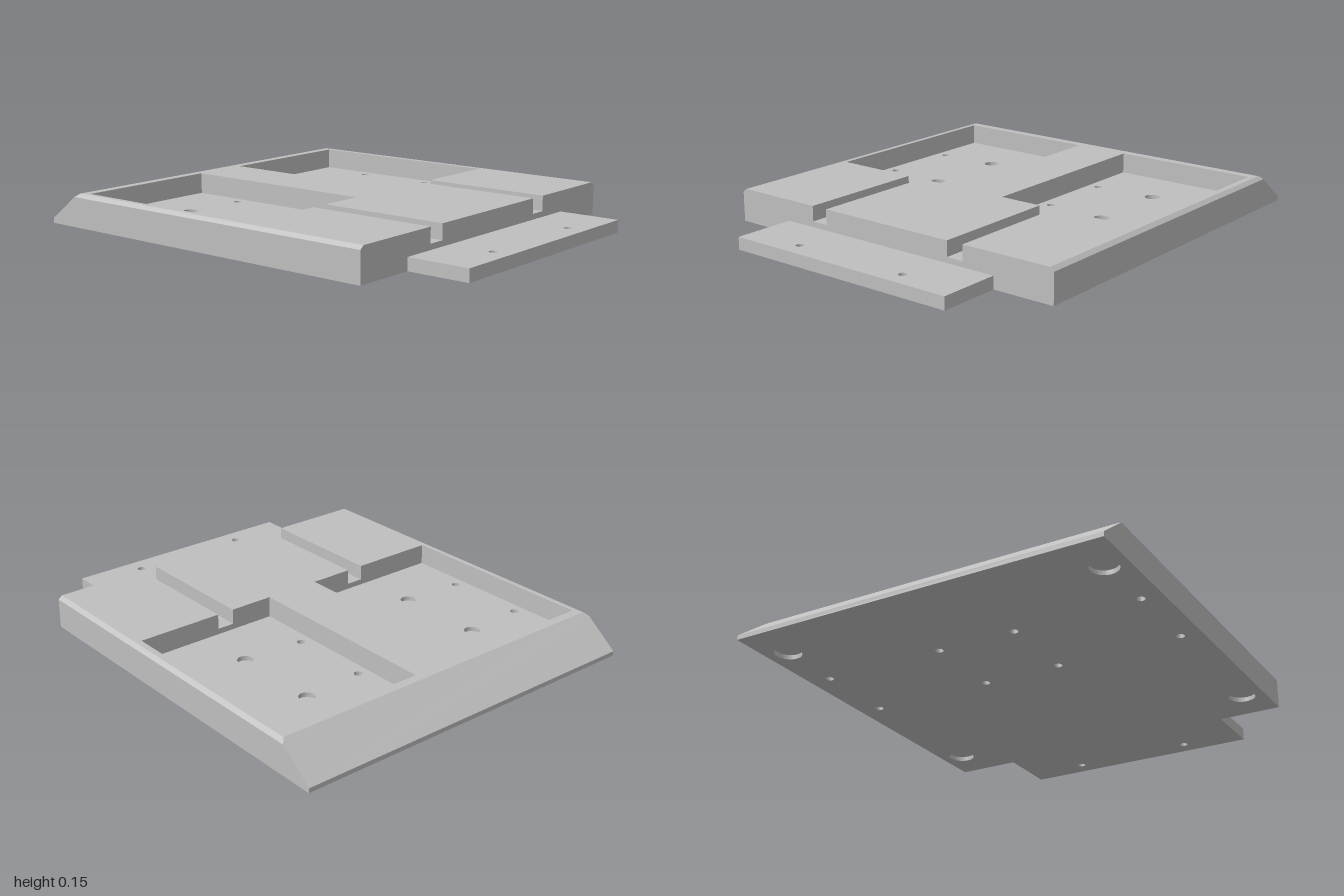
import * as THREE from 'three';
import { mergeGeometries } from 'three/addons/utils/BufferGeometryUtils.js';

const W = 0.83, WT = 0.812;              // half width at the base and at the top
const BACK = -1, RAMP = -0.835, FRONT = 0.72, TIP = 1;
const LIP = 0.02, FLOOR = 0.055, CHANNEL = 0.08, EDGE = 0.132, TOP = 0.147;
const TAB = 0.55, EDGE_Z = -0.855, BLIND = 0.035;

// Convex polygon from 3D corners, counter-clockwise seen from its front
function face(corners) {
  const pos = [];
  for (let i = 1; i < corners.length - 1; i++) pos.push(...corners[0], ...corners[i], ...corners[i + 1]);
  const g = new THREE.BufferGeometry();
  g.setAttribute('position', new THREE.Float32BufferAttribute(pos, 3));
  g.computeVertexNormals();
  return g;
}

// Vertical strip along [x, z] points
function wall(pts, y0, y1) {
  const quads = [];
  for (let i = 0; i < pts.length - 1; i++) {
    const [ax, az] = pts[i], [bx, bz] = pts[i + 1];
    quads.push(face([[ax, y0, az], [bx, y0, bz], [bx, y1, bz], [ax, y1, az]]));
  }
  return mergeGeometries(quads);
}

const toPath = pts => pts.map(p => new THREE.Vector2(...p));

// Flat outline with holes, without uv so it merges with the other faces
function flat(outline, holes = []) {
  const shape = new THREE.Shape(toPath(outline));
  holes.forEach(h => shape.holes.push(new THREE.Path(toPath(h))));
  const g = new THREE.ShapeGeometry(shape).toNonIndexed();
  g.deleteAttribute('uv');
  return g;
}

// Horizontal surface of [x, z] points facing up or down
function cap(outline, y, up, holes) {
  const g = flat(outline, holes).rotateX(Math.PI / 2).translate(0, y, 0);
  if (up) {
    const p = g.attributes.position;
    for (let i = 0; i < p.count; i += 3) {
      const a = [p.getX(i), p.getY(i), p.getZ(i)];
      p.setXYZ(i, p.getX(i + 1), p.getY(i + 1), p.getZ(i + 1));
      p.setXYZ(i + 1, ...a);
    }
    g.computeVertexNormals();
  }
  return g;
}

// Closed ring of points; its wall faces inward
function circle(x, z, r, n = 32) {
  return Array.from({ length: n + 1 }, (_, i) => {
    const a = (i % n) / n * Math.PI * 2;
    return [x + r * Math.cos(a), z + r * Math.sin(a)];
  });
}
const ring = (x, z, r) => circle(x, z, r).slice(0, -1);

const rect = (x0, z0, x1, z1) => [[x0, z0], [x1, z0], [x1, z1], [x0, z1]];

export function createModel() {
  const model = new THREE.Group();
  const grey = new THREE.MeshStandardMaterial({ color: 0xbfbfbf });
  grey.name = 'grey';
  const add = (name, ...geos) => {
    const mesh = new THREE.Mesh(mergeGeometries(geos), grey);
    mesh.name = name;
    model.add(mesh);
  };

  // Two pockets, each with a cable channel opening to the front
  const pockets = [-0.46, 0.455].map(cx => {
    const x0 = cx - 0.33, x1 = cx + 0.33, z0 = -0.795, z1 = 0.13;
    const c0 = cx < 0 ? -0.405 : 0.323, c1 = c0 + 0.077;
    return {
      c0, c1, z1, floor: rect(x0, z0, x1, z1),
      notch: [[c0, FRONT], [c0, z1], [x0, z1], [x0, z0], [x1, z0], [x1, z1], [c1, z1], [c1, FRONT]],
      screws: [-0.28, 0.28].flatMap(dx => [-0.515, -0.15].map(z => [cx + dx, z, 0.018])),
      blinds: [-0.53, -0.13].map(z => [cx, z, 0.034]),
    };
  });
  const tabHoles = [-0.275, 0.275].map(x => [x, 0.92, 0.018]);
  const feet = [-0.73, 0.73].flatMap(x => [-0.8, 0.53].map(z => [x, z, 0.058]));
  const rings = list => list.map(h => ring(...h));

  // Underside
  const screws = pockets.flatMap(p => p.screws);
  add('underside', cap(
    [[-W, BACK], [W, BACK], [W, FRONT], [TAB, FRONT], [TAB, TIP], [-TAB, TIP], [-TAB, FRONT], [-W, FRONT]],
    0, false, rings([...screws, ...tabHoles, ...feet])));
  add('footRecesses', ...feet.flatMap(f => [wall(circle(...f), 0, LIP), cap(ring(...f), LIP, false)]));

  // Top deck around the pockets and channels
  add('topDeck', cap(
    [[-WT, RAMP], [-WT, FRONT], ...pockets.flatMap(p => p.notch), [WT, FRONT], [WT, RAMP]], TOP, true));

  // Front face notched by the channels and the tab
  const notches = pockets.slice().reverse().flatMap(p =>
    [[p.c1, TOP], [p.c1, CHANNEL], [p.c0, CHANNEL], [p.c0, TOP]]);
  add('frontFace', flat([
    [-W, 0], [-TAB, 0], [-TAB, FLOOR], [TAB, FLOOR], [TAB, 0], [W, 0],
    [W, EDGE], [WT, TOP], ...notches, [-WT, TOP], [-W, EDGE]]).translate(0, 0, FRONT));

  // Sides with chamfered top edges
  for (const s of [1, -1]) {
    const side = [[W, 0, FRONT], [W, 0, BACK], [W, LIP, BACK], [W, EDGE, EDGE_Z], [W, EDGE, FRONT]];
    const bevel = [[W, EDGE, FRONT], [W, EDGE, EDGE_Z], [WT, TOP, RAMP], [WT, TOP, FRONT]];
    const place = c => {
      const m = c.map(([x, y, z]) => [s * x, y, z]);
      return face(s > 0 ? m : m.reverse());
    };
    add(s > 0 ? 'leftSide' : 'rightSide', place(side), place(bevel));
  }

  // Sloped back with a thin lip
  add('backRamp',
    face([[W, LIP, BACK], [-W, LIP, BACK], [-W, EDGE, EDGE_Z], [-WT, TOP, RAMP], [WT, TOP, RAMP], [W, EDGE, EDGE_Z]]),
    wall([[W, BACK], [-W, BACK]], 0, LIP));

  // Pocket floors, walls, channels and holes
  pockets.forEach((p, i) => {
    const side = i ? 'left' : 'right';
    add(side + 'Pocket',
      cap(p.floor, FLOOR, true, rings([...p.screws, ...p.blinds])),
      wall([...p.floor, p.floor[0]], FLOOR, CHANNEL),
      wall(p.notch, CHANNEL, TOP));
    add(side + 'Channel', cap(rect(p.c0, p.z1, p.c1, FRONT), CHANNEL, true));
    add(side + 'ScrewHoles', ...p.screws.map(h => wall(circle(...h), 0, FLOOR)));
    add(side + 'BlindHoles', ...p.blinds.flatMap(h =>
      [wall(circle(...h), BLIND, FLOOR), cap(ring(...h), BLIND, true)]));
  });

  // Front mounting tab
  add('frontTab',
    cap(rect(-TAB, FRONT, TAB, TIP), FLOOR, true, rings(tabHoles)),
    wall([[-TAB, FRONT], [-TAB, TIP], [TAB, TIP], [TAB, FRONT]], 0, FLOOR),
    ...tabHoles.map(h => wall(circle(...h), 0, FLOOR)));

  return model;
}
